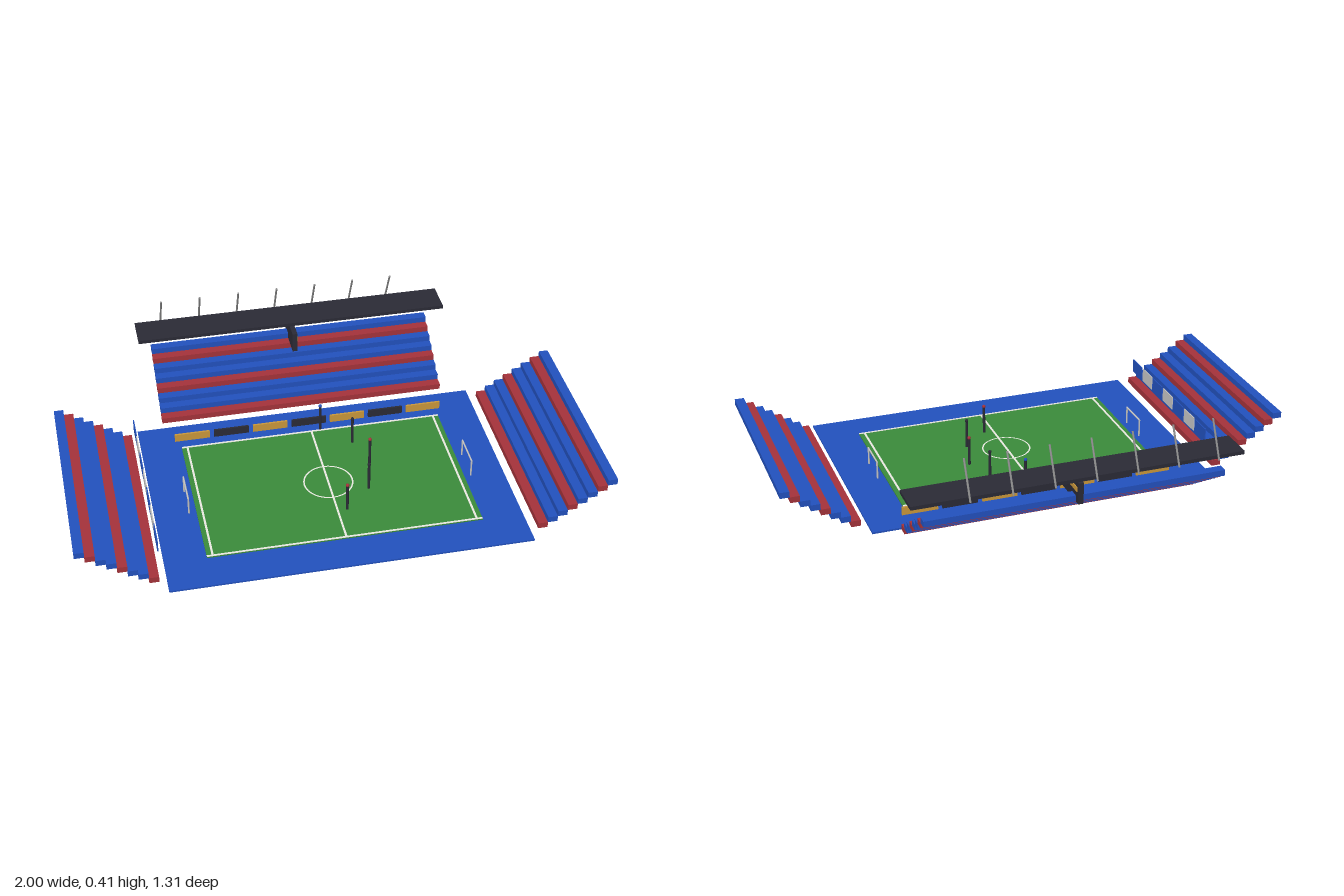
import * as THREE from 'three';

const mat = (name, color) => {
  const m = new THREE.MeshStandardMaterial({ color });
  m.name = name;
  return m;
};

export function createModel() {
  const blue = mat('blue', 0x2250bc);
  const red = mat('red', 0xa3323a);
  const green = mat('grass green', 0x3a8a3a);
  const white = mat('line white', 0xe8e8e0);
  const dark = mat('charcoal', 0x2a2a35);
  const gold = mat('gold', 0xc8963a);
  const grey = mat('steel grey', 0x8c8c8c);
  const pale = mat('pale grey', 0xc4c4c4);

  const model = new THREE.Group();
  model.name = 'stadium';
  const add = (name, geometry, material, x, y, z, parent = model) => {
    const mesh = new THREE.Mesh(geometry, material);
    mesh.name = name;
    mesh.position.set(x, y, z);
    parent.add(mesh);
    return mesh;
  };
  const box = (name, material, w, h, d, x, y, z, parent) =>
    add(name, new THREE.BoxGeometry(w, h, d), material, x, y, z, parent);
  const group = (name) => {
    const g = new THREE.Group();
    g.name = name;
    model.add(g);
    return g;
  };
  const midZ = 0.183;

  // Ground slab and playing field
  box('ground', blue, 1.36, 0.007, 0.942, 0, 0.0035, 0.184);
  box('pitch', green, 1.044, 0.006, 0.654, 0, 0.0095, midZ);

  // Field markings
  const lines = group('fieldMarkings');
  const lineY = 0.0133;
  for (const s of [-1, 1]) {
    box('touchLine', white, 1.044, 0.002, 0.008, 0, lineY, midZ + s * 0.323, lines);
    box('goalLine', white, 0.008, 0.002, 0.65, s * 0.5, lineY, midZ, lines);
  }
  box('halfwayLine', white, 0.008, 0.002, 0.65, 0, lineY, midZ, lines);
  const circle = add('centreCircle', new THREE.RingGeometry(0.091, 0.097, 32), white, 0, 0.0143, midZ, lines);
  circle.rotation.x = -Math.PI / 2;

  // Stepped stands: every third row is red
  const rows = 8, rise = 0.0234, run = 0.0365;
  const back = group('backStand');
  const sides = [-1, 1].map((s) => [s, group(s < 0 ? 'rightStand' : 'leftStand')]);
  for (let i = 0; i < rows; i++) {
    const m = i % 3 === 0 ? red : blue;
    const y = 0.013 + (i + 0.5) * rise;
    const out = (i + 0.5) * run;
    box('seatRow', m, 1.152, rise, run, 0, y, -0.312 - out, back);
    for (const [s, g] of sides) box('seatRow', m, run, rise, 0.838, s * (0.708 + out), y, 0.186, g);
  }

  // Flat roof with leaning masts
  box('roof', dark, 1.262, 0.014, 0.132, 0, 0.281, -0.576);
  const masts = group('roofMasts');
  const length = Math.hypot(0.14, 0.068);
  for (let i = 0; i < 7; i++) {
    const mast = add('mast', new THREE.CylinderGeometry(0.004, 0.004, length, 8), grey,
      -0.524 + i * 0.1573, 0.342, -0.62, masts);
    mast.rotation.x = Math.atan2(0.068, 0.14);
  }

  // Scoreboard hanging under the roof, screen towards +x
  box('scoreboard', dark, 0.02, 0.084, 0.157, 0, 0.218, -0.549);
  box('scoreboardScreen', gold, 0.004, 0.018, 0.142, 0.0115, 0.231, -0.547);

  // Alternating boards along the back of the field
  const boards = group('sideBoards');
  for (let i = -3; i <= 3; i++) {
    box('board', i % 2 ? gold : dark, 0.14, 0.032, 0.008, i * 0.1573, 0.023, -0.195, boards);
  }

  // Banners in front of the stand at -x
  const banners = group('banners');
  for (let i = -3; i <= 3; i++) {
    box('banner', i % 2 ? blue : pale, 0.004, 0.055, 0.092, -0.7, 0.123, 0.178 + i * 0.104, banners);
  }
  // Recolour so that the row starts and ends with blue
  banners.children.forEach((b, i) => { b.material = i % 2 ? pale : blue; });

  // Goal frames
  for (const s of [-1, 1]) {
    const goal = group('goal');
    for (const t of [-1, 1]) {
      add('goalPost', new THREE.CylinderGeometry(0.0035, 0.0035, 0.07, 8), pale,
        s * 0.55, 0.042, midZ + t * 0.064, goal);
    }
    const bar = add('crossbar', new THREE.CylinderGeometry(0.0035, 0.0035, 0.134, 8), pale, s * 0.55, 0.077, midZ, goal);
    bar.rotation.x = Math.PI / 2;
  }

  // Slim figures in an arc on the pitch
  const figures = group('players');
  const spots = [[0.037, -0.148, blue], [0.144, -0.04, dark], [0.182, 0.1, red], [0.144, 0.249, dark], [0.037, 0.352, red]];
  for (const [x, z, m] of spots) {
    add('playerBody', new THREE.CylinderGeometry(0.0055, 0.0055, 0.112, 8), dark, x, 0.068, z, figures);
    add('playerHead', new THREE.SphereGeometry(0.007, 10, 8), m, x, 0.128, z, figures);
  }

  return model;
}
